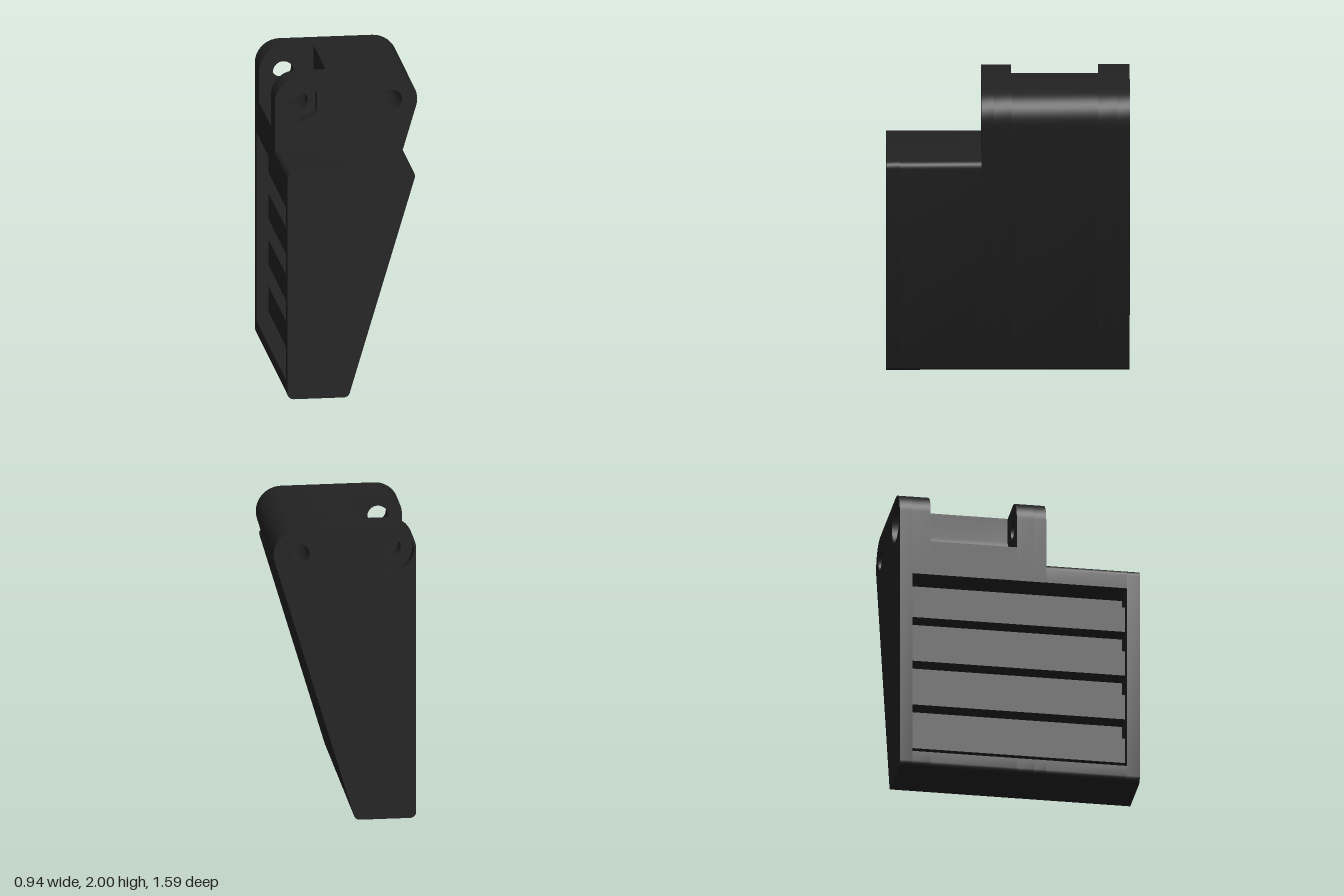
import * as THREE from 'three';
import { toCreasedNormals } from 'three/addons/utils/BufferGeometryUtils.js';

const LEFT = -0.47, SLOPE = 0.297, BASE = -0.069;
const slantX = (y) => BASE + SLOPE * y; // x of the slanted side at height y
const HINGE = [-0.31, 1.833], PIN = [0.3, 1.833], HOLE_R = 0.068;

// Closed shape from [x, y, cornerRadius] points, rounded with true arcs
function roundedShape(points) {
  const out = [];
  const n = points.length;
  points.forEach(([x, y, r = 0], i) => {
    const p = new THREE.Vector2(x, y);
    if (!r) { out.push(p); return; }
    const a = new THREE.Vector2(...points[(i + n - 1) % n].slice(0, 2)).sub(p).normalize();
    const b = new THREE.Vector2(...points[(i + 1) % n].slice(0, 2)).sub(p).normalize();
    const half = Math.acos(a.dot(b)) / 2;
    const c = a.clone().add(b).normalize().multiplyScalar(r / Math.sin(half)).add(p);
    const start = a.multiplyScalar(r / Math.tan(half)).add(p).sub(c);
    const end = b.multiplyScalar(r / Math.tan(half)).add(p).sub(c);
    const sweep = Math.atan2(start.cross(end), start.dot(end));
    const steps = r > 0.1 ? 14 : 6;
    for (let k = 0; k <= steps; k++) {
      out.push(start.clone().rotateAround(new THREE.Vector2(), sweep * k / steps).add(c));
    }
  });
  return new THREE.Shape(out);
}

function ring([x, y], r, sides = 32, turn = 0) {
  const pts = [];
  for (let i = 0; i < sides; i++) {
    const a = turn - i / sides * Math.PI * 2;
    pts.push(new THREE.Vector2(x + r * Math.cos(a), y + r * Math.sin(a)));
  }
  return new THREE.Path(pts);
}

export function createModel() {
  const group = new THREE.Group();
  const material = new THREE.MeshStandardMaterial({ color: 0x222222 });
  const add = (name, geometry) => {
    const mesh = new THREE.Mesh(geometry, material);
    mesh.name = name;
    group.add(mesh);
    return mesh;
  };

  // Bottom corners, top outlines, and the recessed vent edge on the -x side
  const bottom = [[LEFT, 0, 0.04], [BASE, 0, 0.04]];
  const tallRight = [slantX(2), 2, 0.167];
  const tops = {
    tall: [tallRight, [LEFT, 2, 0.16]],
    notched: [tallRight, [-0.11, 2], [-0.11, 1.63, 0.2], [LEFT, 1.63]],
    low: [[slantX(1.525), 1.525, 0.04], [LEFT, 1.525, 0.04]],
  };
  const recess = [[LEFT, 1.39], [-0.27, 1.39], [-0.27, 0.11], [LEFT, 0.11]];

  // One section of the body between two z positions
  function section(name, z0, z1, top, vented, holes) {
    const shape = roundedShape([...bottom, ...tops[top], ...(vented ? recess : [])]);
    shape.holes.push(...holes);
    const geometry = new THREE.ExtrudeGeometry(shape, { depth: z1 - z0, bevelEnabled: false });
    add(name, toCreasedNormals(geometry.translate(0, 0, z0), 0.5));
  }

  const pin = () => ring(PIN, HOLE_R);
  const hinge = () => ring(HINGE, HOLE_R);
  section('backWallWithCounterbore', -0.795, -0.71, 'tall', false, [pin(), ring(HINGE, 0.145)]);
  section('backHingeEar', -0.71, -0.59, 'tall', true, [pin(), hinge()]);
  section('hingeNotchBody', -0.59, -0.02, 'notched', true, [pin()]);
  section('frontHingeEar', -0.02, 0.095, 'tall', true, [pin(), hinge()]);
  section('hexNutPocket', 0.095, 0.175, 'tall', true, [pin(), ring(HINGE, 0.138, 6, Math.PI / 2)]);
  section('lowBody', 0.175, 0.71, 'low', true, []);
  section('frontWall', 0.71, 0.795, 'low', false, []);

  // Horizontal slats set back inside the vent
  for (let i = 0; i < 4; i++) {
    const slat = add('ventSlat', new THREE.BoxGeometry(0.16, 0.175, 1.42));
    slat.position.set(-0.31, 0.255 + i * 0.315, 0);
  }
  return group;
}
